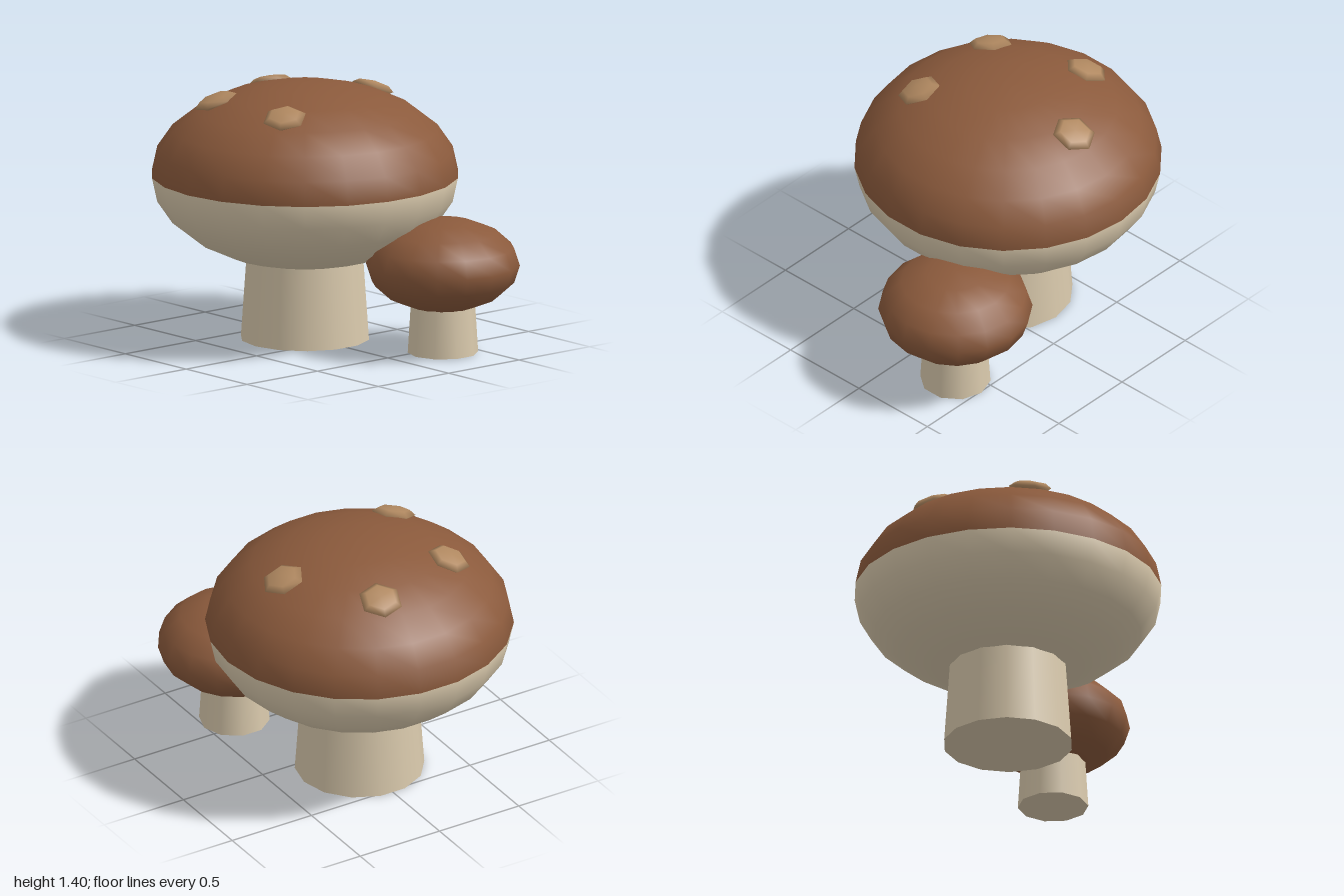
import * as THREE from 'three';

const mat = (name, color) => new THREE.MeshStandardMaterial({ name, color });

export function createModel() {
  const brown = mat('capBrown', 0x8b5a3c);
  const cream = mat('stemCream', 0xd9c9ac);
  const tan = mat('spotTan', 0xb08860);

  const add = (parent, name, geometry, material) => {
    const mesh = new THREE.Mesh(geometry, material);
    mesh.name = name;
    parent.add(mesh);
    return mesh;
  };

  // Large mushroom
  const large = new THREE.Group();
  large.name = 'largeMushroom';
  large.position.set(-0.18, 0, 0);

  const stem = new THREE.CylinderGeometry(0.315, 0.35, 0.5, 14);
  add(large, 'largeStem', stem, cream).position.y = 0.25;

  // Cap halves share a rim; the quarter turn puts rim corners on the z axis
  const half = (start) =>
    new THREE.SphereGeometry(1, 22, 6, 0, Math.PI * 2, start, Math.PI / 2)
      .rotateY(Math.PI / 2).scale(0.83, 0.5, 0.83);
  add(large, 'largeCapTop', half(0), brown).position.y = 0.9;
  add(large, 'largeCapUnderside', half(Math.PI / 2), cream).position.y = 0.9;

  // Raised spots, sunk into the cap on the uphill side
  for (const degrees of [90, 162, 234, 306]) {
    const pivot = new THREE.Group();
    pivot.name = 'capSpot';
    pivot.rotation.y = THREE.MathUtils.degToRad(degrees);
    const geometry = new THREE.SphereGeometry(1, 6, 4).scale(0.12, 0.035, 0.12);
    const spot = add(pivot, 'spot', geometry, tan);
    spot.position.set(0.482, 1.308, 0);
    spot.rotation.z = -0.36;
    large.add(pivot);
  }

  // Small mushroom
  const small = new THREE.Group();
  small.name = 'smallMushroom';
  small.position.set(0.583, 0, -0.32);
  add(small, 'smallStem', new THREE.CylinderGeometry(0.165, 0.19, 0.4, 10), cream).position.y = 0.2;
  const smallCap = new THREE.SphereGeometry(1, 16, 8).scale(0.415, 0.25, 0.415);
  add(small, 'smallCap', smallCap, brown).position.y = 0.483;

  const model = new THREE.Group();
  model.name = 'mushrooms';
  model.add(large, small);
  return model;
}
